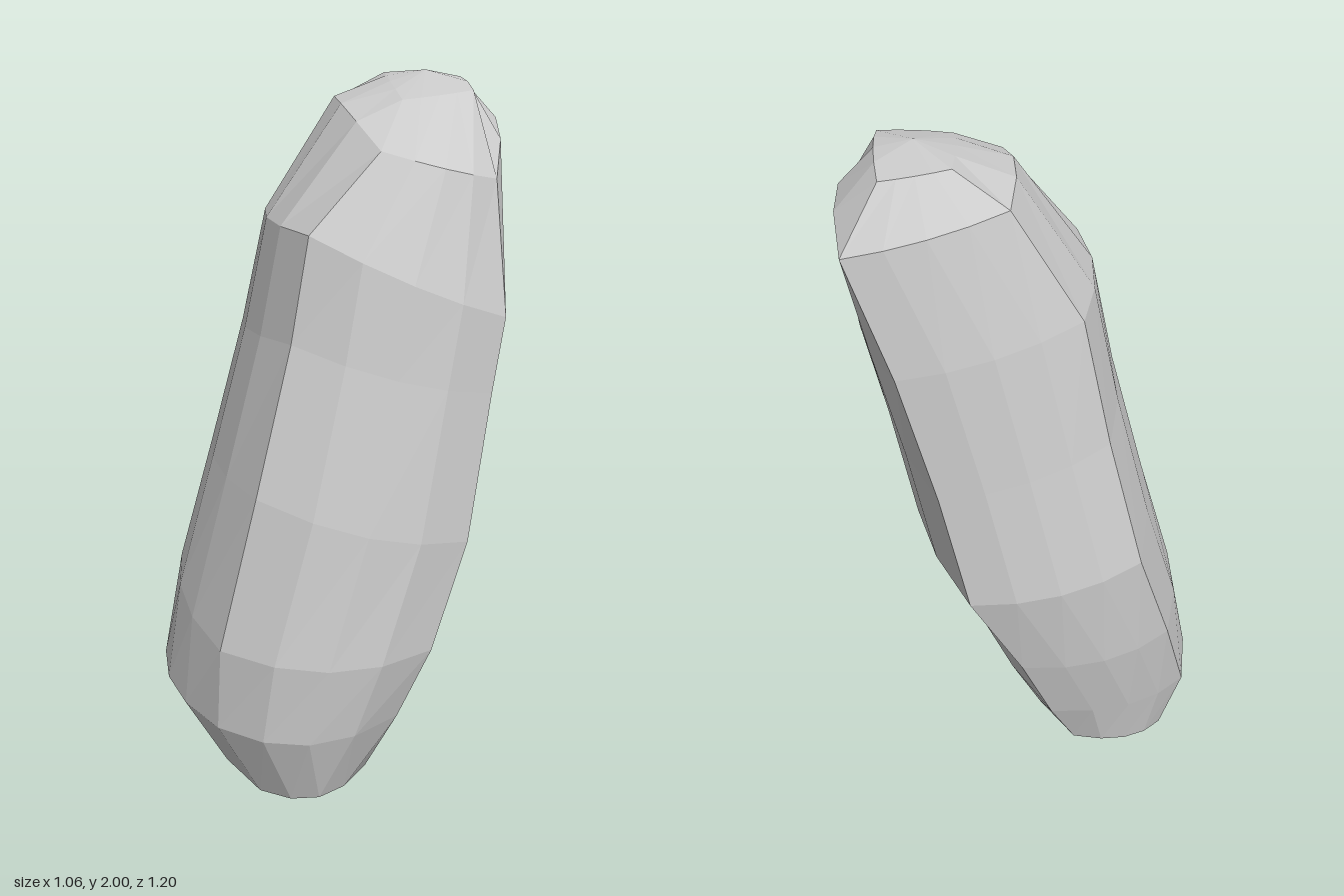
import * as THREE from 'three';

// Each ring lists its four corners: front, right (+x), back, left (-x).
// bulge scales the outward swell of the sides, lift raises the middle of the sides.
const RINGS = [
  { c: [[0.07, 0.01, 0.43], [0.17, 0.02, 0.26], [-0.22, 0.1, 0.02], [-0.3, 0.05, 0.24]], bulge: 0.5 },
  { c: [[0.14, 0.04, 0.5], [0.32, 0.08, 0.25], [-0.38, 0.17, -0.11], [-0.46, 0.08, 0.2]], bulge: 0.8 },
  { c: [[0.08, 0.27, 0.6], [0.43, 0.29, 0.24], [-0.38, 0.34, -0.21], [-0.49, 0.25, 0.26]], bulge: 1 },
  { c: [[0.1, 0.52, 0.6], [0.5, 0.5, 0.18], [-0.36, 0.56, -0.31], [-0.53, 0.55, 0.12]], bulge: 1 },
  { c: [[0.15, 0.95, 0.5], [0.53, 0.8, 0.07], [-0.29, 0.82, -0.44], [-0.53, 0.88, -0.02]], bulge: 0.95 },
  { c: [[0.16, 1.35, 0.37], [0.52, 1.2, -0.03], [-0.22, 1.15, -0.48], [-0.44, 1.25, -0.07]], bulge: 0.9 },
  { c: [[0.17, 1.63, 0.31], [0.52, 1.4, -0.08], [-0.14, 1.5, -0.54], [-0.37, 1.6, -0.11]], bulge: 0.85 },
  { c: [[0.24, 1.83, 0.11], [0.43, 1.75, -0.14], [-0.03, 1.81, -0.6], [-0.25, 1.9, -0.25]], bulge: 0.55, lift: 0.09 },
  { c: [[0.16, 1.94, -0.07], [0.27, 1.96, -0.24], [-0.01, 1.96, -0.46], [-0.11, 1.98, -0.31]], bulge: 0.1, lift: 0.02 },
];
const SIDE_BULGE = [0.12, 0.08, 0.055, 0.08];
const SIDE_LIFT = [0, 1, 0, 0.6];
const SEGMENTS = 4;

// Subdivide a four-cornered ring into a softly swollen loop
function loopPoints({ c, bulge, lift = 0 }) {
  const points = [];
  c.forEach((corner, side) => {
    const a = new THREE.Vector3(...corner);
    const b = new THREE.Vector3(...c[(side + 1) % 4]);
    const out = new THREE.Vector3(a.z - b.z, 0, b.x - a.x).normalize();
    for (let k = 0; k < SEGMENTS; k++) {
      const t = k / SEGMENTS;
      const swell = 4 * t * (1 - t);
      const p = a.clone().lerp(b, t).addScaledVector(out, SIDE_BULGE[side] * bulge * swell);
      p.y += SIDE_LIFT[side] * lift * swell;
      points.push(p);
    }
  });
  return points;
}

function stoneGeometry() {
  const loops = RINGS.map(loopPoints);
  const n = SEGMENTS * 4;
  const positions = [];
  const triangle = (...pts) => pts.forEach((p) => positions.push(p.x, p.y, p.z));

  // Side walls
  for (let i = 0; i < loops.length - 1; i++) {
    for (let j = 0; j < n; j++) {
      const k = (j + 1) % n;
      triangle(loops[i][j], loops[i][k], loops[i + 1][k]);
      triangle(loops[i][j], loops[i + 1][k], loops[i + 1][j]);
    }
  }
  // Domed top and nearly flat underside
  const peak = new THREE.Vector3(0.07, 2, -0.28);
  const base = new THREE.Vector3(0, 0, 0.3);
  const last = loops[loops.length - 1];
  for (let j = 0; j < n; j++) {
    const k = (j + 1) % n;
    triangle(last[j], last[k], peak);
    triangle(loops[0][k], loops[0][j], base);
  }

  const geometry = new THREE.BufferGeometry();
  geometry.setAttribute('position', new THREE.Float32BufferAttribute(positions, 3));
  geometry.computeVertexNormals();
  return geometry;
}

export function createModel() {
  const group = new THREE.Group();
  group.name = 'leaningStone';
  const stone = new THREE.Mesh(
    stoneGeometry(),
    new THREE.MeshStandardMaterial({ color: 0xcccccc, flatShading: true })
  );
  stone.name = 'stone';
  group.add(stone);
  return group;
}
